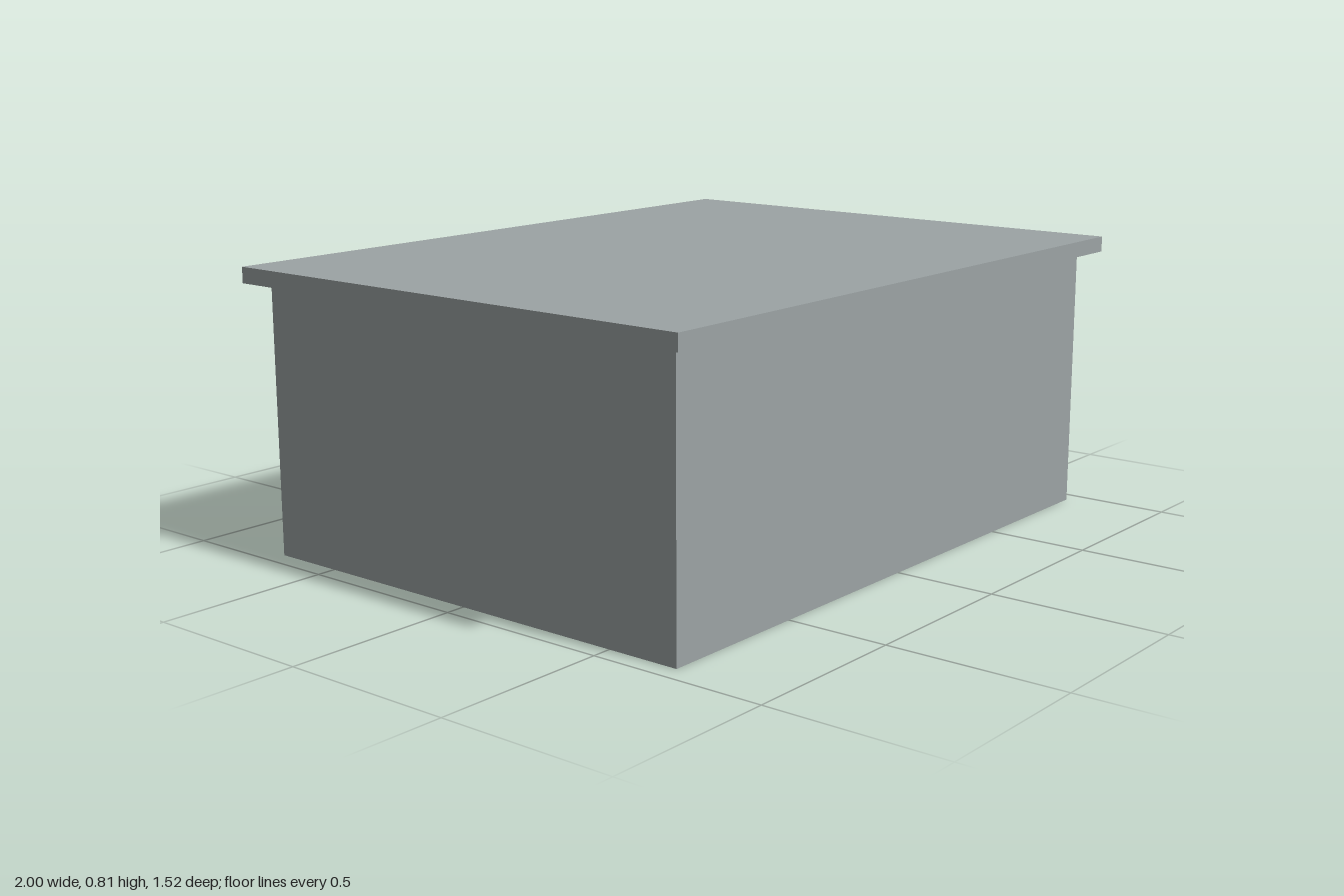
import * as THREE from 'three';

const material = (name, color) => {
  const m = new THREE.MeshStandardMaterial({ color });
  m.name = name;
  return m;
};

export function createModel() {
  const concrete = material('concrete grey', 0x9ca3a4);
  const shutter = material('shutter grey', 0x62686b);
  const ribGrey = material('rib grey', 0x7d8486);
  const glass = material('window glass', 0x5f8791);

  const group = new THREE.Group();
  group.name = 'garage';

  // Box given by its minimum and maximum corners
  const addBox = (name, mat, [x0, y0, z0], [x1, y1, z1]) => {
    const mesh = new THREE.Mesh(new THREE.BoxGeometry(x1 - x0, y1 - y0, z1 - z0), mat);
    mesh.position.set((x0 + x1) / 2, (y0 + y1) / 2, (z0 + z1) / 2);
    mesh.name = name;
    group.add(mesh);
  };

  const back = -0.71;

  // Main block and overhanging flat roof
  addBox('walls', concrete, [-0.945, 0, back], [0.945, 0.77, 0.71]);
  addBox('roof', concrete, [-1, 0.77, -0.762], [1, 0.815, 0.762]);

  // Roller door with horizontal ribs on the back wall
  addBox('rollerDoor', shutter, [-0.32, 0.003, -0.725], [0.32, 0.643, back]);
  for (let i = 0; i < 10; i++) {
    const y = 0.066 + i * 0.0522;
    addBox(`doorRib${i + 1}`, ribGrey, [-0.315, y - 0.004, -0.733], [0.315, y + 0.004, -0.725]);
  }

  // One window on each side of the door
  for (const [name, x] of [['leftWindow', 0.63], ['rightWindow', -0.63]]) {
    addBox(name, glass, [x - 0.128, 0.398, back - 0.0095], [x + 0.128, 0.563, back]);
  }

  return group;
}
